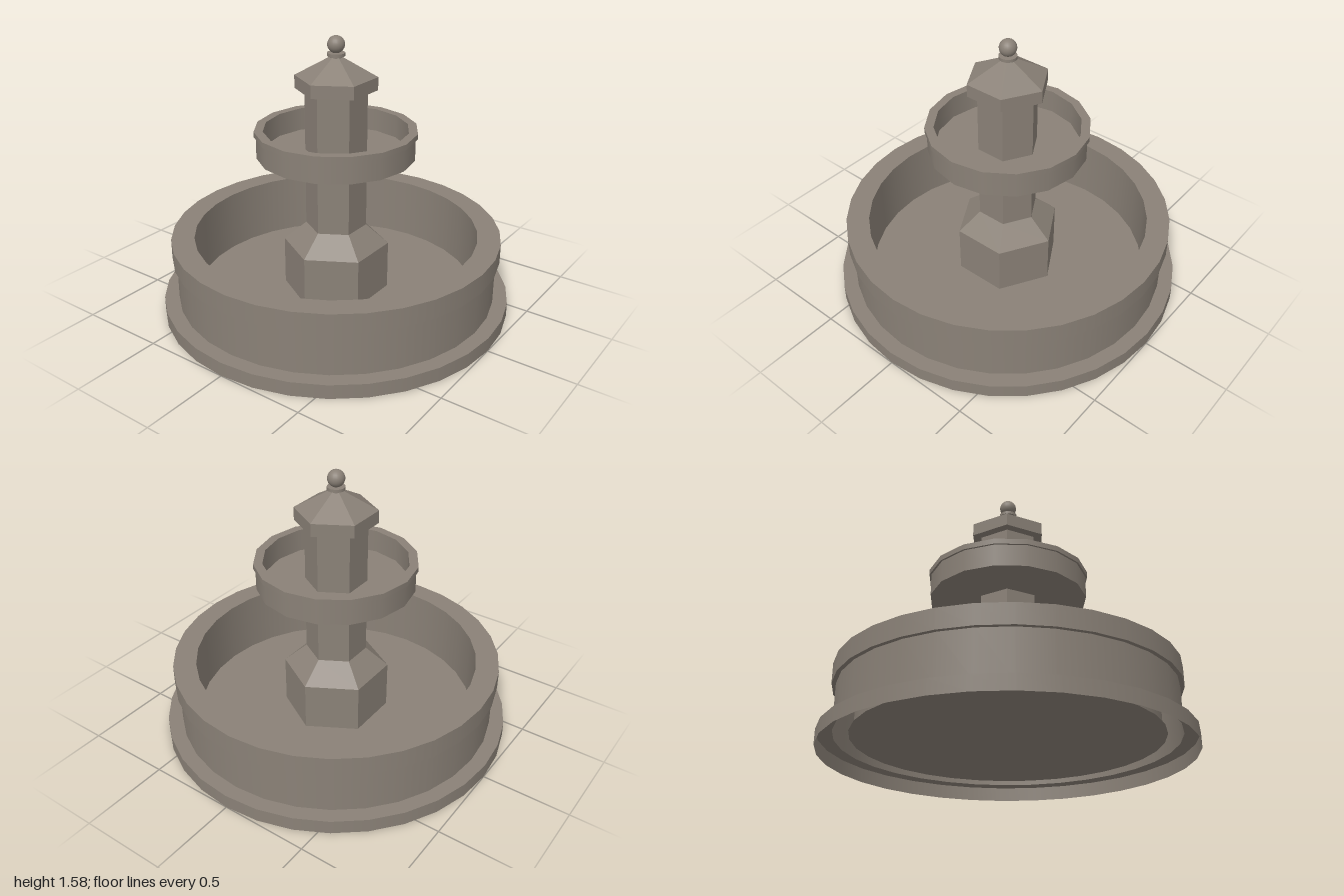
import * as THREE from 'three';
import { mergeGeometries } from 'three/addons/utils/BufferGeometryUtils.js';

const stone = new THREE.MeshStandardMaterial({ color: 0x8a8177, side: THREE.DoubleSide });
stone.name = 'stone';

// Turned part with a sharp edge at every profile point; faceted when flat is set
function turned(name, profile, sides, flat = false) {
  const bands = [];
  for (let i = 0; i + 1 < profile.length; i++) {
    const pair = [profile[i], profile[i + 1]].map(([r, y]) => new THREE.Vector2(r, y));
    bands.push(new THREE.LatheGeometry(pair, sides));
  }
  let geometry = mergeGeometries(bands);
  if (flat) {
    geometry = geometry.toNonIndexed();
    geometry.computeVertexNormals();
  }
  const mesh = new THREE.Mesh(geometry, stone);
  mesh.name = name;
  return mesh;
}

export function createModel() {
  const fountain = new THREE.Group();
  fountain.name = 'fountain';

  // Large pool: open skirt, ledge, wall, overhanging rim and inner wall
  fountain.add(turned('poolWall', [
    [1, 0], [1, 0.08], [0.917, 0.08], [0.917, 0.333], [0.94, 0.333],
    [0.94, 0.443], [0.81, 0.443], [0.81, 0.085],
  ], 32));
  fountain.add(turned('poolFloor', [[0.835, 0.085], [0, 0.085]], 32));

  // Hexagonal plinth with a sloped shoulder, and the column above it
  fountain.add(turned('plinth', [[0.302, 0.085], [0.302, 0.365], [0.173, 0.477]], 6, true));
  fountain.add(turned('column', [[0.173, 0.477], [0.173, 1.28]], 6, true));

  // Small upper bowl
  fountain.add(turned('upperBowl', [
    [0, 0.903], [0.444, 0.903], [0.444, 1.028], [0.455, 1.028],
    [0.455, 1.058], [0.405, 1.058], [0.405, 0.925], [0, 0.925],
  ], 16));

  // Hexagonal cap with a pyramid roof
  fountain.add(turned('cap', [
    [0, 1.28], [0.228, 1.28], [0.228, 1.353], [0.02, 1.467],
  ], 6, true));

  // Collar and ball finial
  fountain.add(turned('collar', [
    [0.035, 1.44], [0.035, 1.465], [0.05, 1.465], [0.05, 1.482], [0, 1.482],
  ], 16));
  const ball = new THREE.Mesh(new THREE.SphereGeometry(0.048, 20, 14), stone);
  ball.name = 'ballFinial';
  ball.position.y = 1.527;
  fountain.add(ball);

  return fountain;
}
